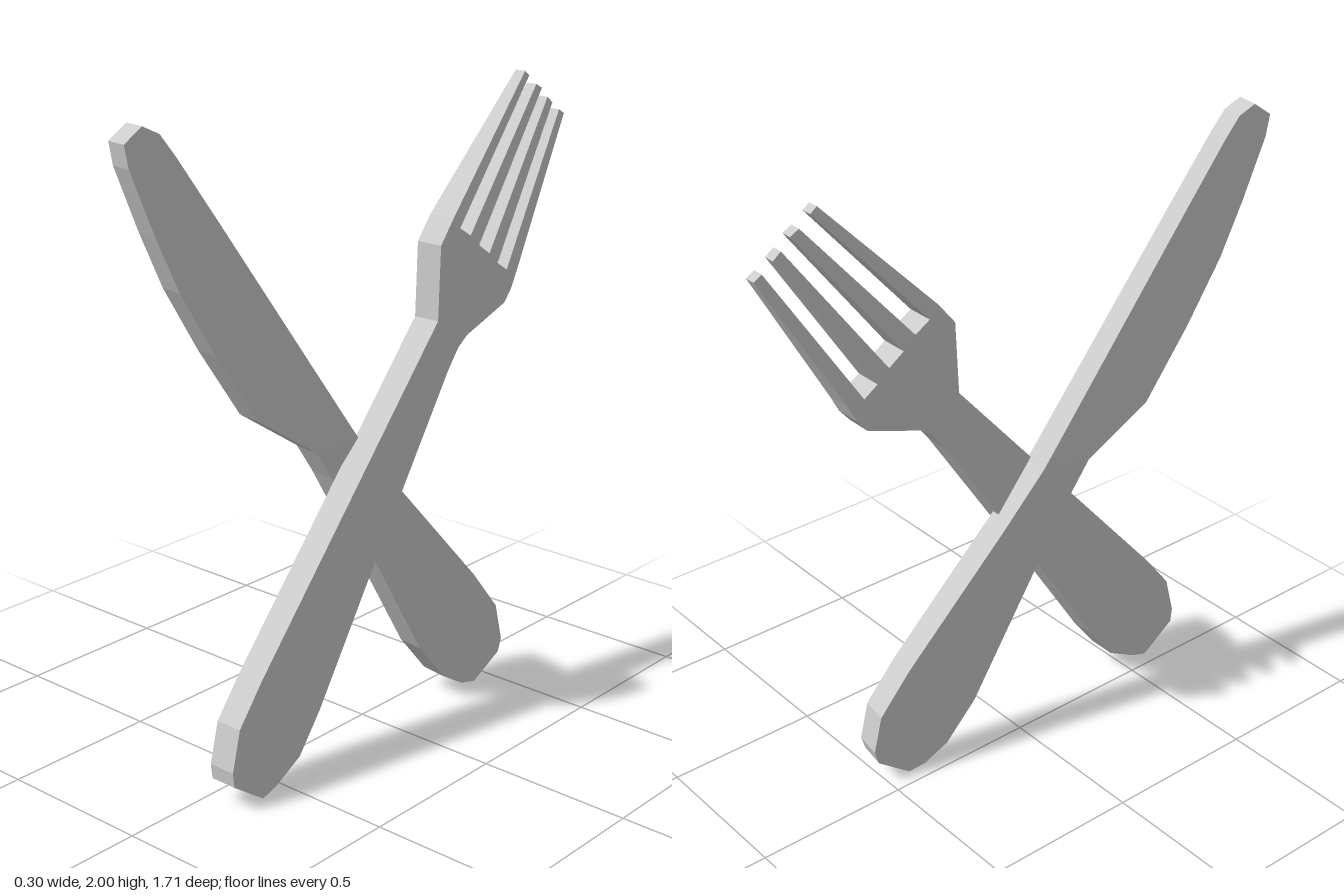
import * as THREE from 'three';

const grey = new THREE.MeshStandardMaterial({ color: 0xcccccc, flatShading: true });

// Slab from a side outline of [z, y] points, centred on x = 0.
// halfAt(z, y) gives half the thickness at each outline point.
function slab(name, outline, halfAt) {
  const shape = new THREE.Shape(outline.map(([z, y]) => new THREE.Vector2(-z, y)));
  const geo = new THREE.ExtrudeGeometry(shape, { depth: 2, bevelEnabled: false });
  geo.translate(0, 0, -1).rotateY(Math.PI / 2);
  const p = geo.attributes.position;
  for (let i = 0; i < p.count; i++) p.setX(i, p.getX(i) * halfAt(p.getZ(i), p.getY(i)));
  geo.computeVertexNormals();
  const mesh = new THREE.Mesh(geo, grey);
  mesh.name = name;
  return mesh;
}

function createFork() {
  const fork = new THREE.Group();
  fork.name = 'fork';

  // Each tine: two root corners, then two tip corners
  const tines = [
    [[-0.59, 1.38], [-0.533, 1.385], [-0.825, 1.846], [-0.852, 1.83]],
    [[-0.485, 1.416], [-0.443, 1.454], [-0.761, 1.894], [-0.788, 1.873]],
    [[-0.39, 1.49], [-0.347, 1.528], [-0.7, 1.942], [-0.73, 1.926]],
    [[-0.295, 1.56], [-0.263, 1.597], [-0.64, 1.99], [-0.662, 1.973]],
  ];

  // Handle and head in one piece, the head ending at the tine roots
  const body = [
    [0.6, 0], [0.54, 0.02], [0.44, 0.075], [0.35, 0.195], [0.066, 0.642], [-0.245, 1.12],
    [-0.295, 1.185], [-0.337, 1.215], [-0.525, 1.28], [-0.56, 1.322],
    ...tines.flatMap((t) => [t[0], t[1]]),
    [-0.204, 1.523], [-0.194, 1.29], [0.597, 0.382], [0.692, 0.26], [0.724, 0.133], [0.719, 0.085],
  ];
  fork.add(slab('forkHandleAndHead', body, () => 0.045));

  // Tines thin out along their length
  const taper = (z, y) => {
    const t = THREE.MathUtils.clamp((-0.59 * z + 0.81 * y - 1.467) / 0.518, 0, 1);
    return THREE.MathUtils.lerp(0.045, 0.018, t);
  };
  tines.forEach((t, i) => fork.add(slab('forkTine' + (i + 1), t, taper)));

  fork.position.x = 0.09;
  return fork;
}

function createKnife() {
  const knife = new THREE.Group();
  knife.name = 'knife';
  const yaw = -0.157;
  // Undo the slant so the outline can be given as seen on the outer face
  const place = ([z, y]) => [(z - 0.007) / Math.cos(yaw), y];

  const handle = [
    [0.08, 0.97], [-0.056, 0.8], [-0.4, 0.393], [-0.5, 0.255], [-0.527, 0.13], [-0.514, 0.085],
    [-0.41, 0.01], [-0.353, 0.021], [-0.273, 0.07], [-0.172, 0.2], [0.056, 0.63],
    [0.183, 0.865], [0.241, 0.96],
  ].map(place);
  knife.add(slab('knifeHandle', handle, () => 0.047));

  const blade = [
    [0.08, 0.97], [0.241, 0.96], [0.448, 1.103], [0.59, 1.326], [0.703, 1.528], [0.777, 1.7],
    [0.85, 1.89], [0.862, 1.958], [0.804, 2], [0.75, 1.973], [0.7, 1.905], [0.565, 1.703],
    [0.109, 1.013],
  ].map(place);
  knife.add(slab('knifeBlade', blade, (z, y) => 0.047 - 0.01 * (y - 0.96)));

  knife.rotation.y = yaw;
  knife.position.x = 0.021;
  return knife;
}

export function createModel() {
  const model = new THREE.Group();
  model.name = 'crossedForkAndKnife';
  model.add(createFork(), createKnife());
  return model;
}
